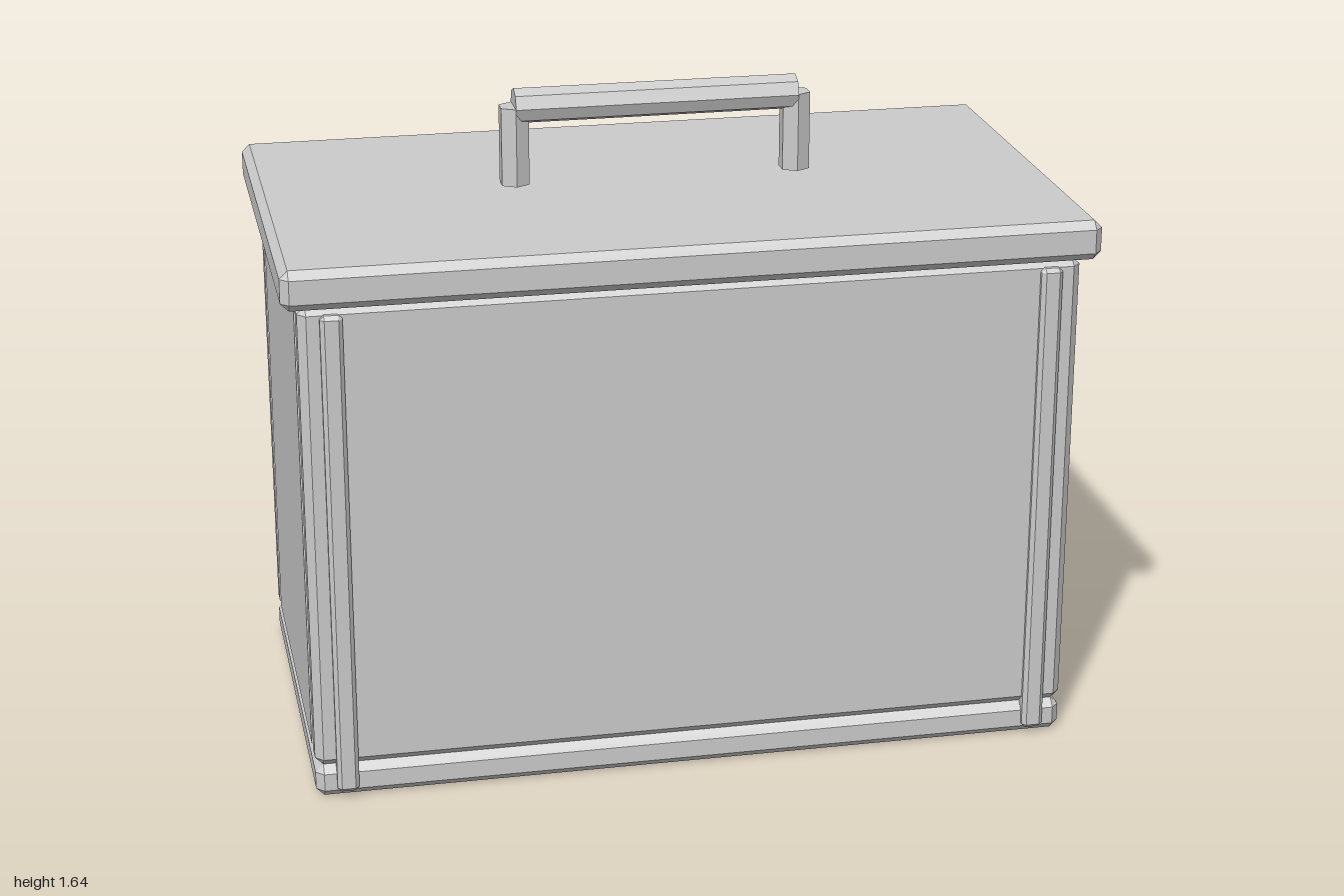
import * as THREE from 'three';
import { ConvexGeometry } from 'three/addons/geometries/ConvexGeometry.js';

const material = new THREE.MeshStandardMaterial({ color: 0xcccccc, flatShading: true });

function add(group, name, geometry, x = 0, y = 0, z = 0) {
  const mesh = new THREE.Mesh(geometry, material);
  mesh.name = name;
  mesh.position.set(x, y, z);
  group.add(mesh);
  return mesh;
}

// Box with every edge bevelled, given by its extents on each axis
function bevelBox(group, name, [x0, x1], [y0, y1], [z0, z1], c = 0.02) {
  const a = (x1 - x0) / 2, b = (y1 - y0) / 2, d = (z1 - z0) / 2;
  const points = [];
  for (const i of [-1, 1]) for (const j of [-1, 1]) for (const k of [-1, 1]) {
    points.push(
      new THREE.Vector3(i * a, j * (b - c), k * (d - c)),
      new THREE.Vector3(i * (a - c), j * b, k * (d - c)),
      new THREE.Vector3(i * (a - c), j * (b - c), k * d)
    );
  }
  return add(group, name, new ConvexGeometry(points), (x0 + x1) / 2, (y0 + y1) / 2, (z0 + z1) / 2);
}

export function createModel() {
  const model = new THREE.Group();
  model.name = 'box';

  // Base and lid
  bevelBox(model, 'base', [-0.96, 0.96], [0, 0.085], [-0.487, 0.552]);
  bevelBox(model, 'lid', [-1, 1], [1.285, 1.385], [-0.525, 0.59]);

  // Walls
  const wallY = [0.085, 1.283];
  bevelBox(model, 'frontPanel', [-0.96, 0.96], wallY, [0.47, 0.552]);
  bevelBox(model, 'backPanel', [-0.96, 0.96], wallY, [-0.487, -0.404]);
  bevelBox(model, 'leftPanel', [0.88, 0.96], wallY, [-0.404, 0.47]);
  bevelBox(model, 'rightPanel', [-0.96, -0.88], wallY, [-0.404, 0.47]);

  for (const s of [-1, 1]) {
    const stripX = [s * 0.882 - 0.027, s * 0.882 + 0.027];

    // Upright trim strips on the front and back
    bevelBox(model, 'frontStrip', stripX, [0.02, 1.265], [0.515, 0.571], 0.01);
    bevelBox(model, 'backStrip', stripX, [0.02, 1.265], [-0.505, -0.449], 0.01);

    // Handle posts
    add(model, 'handlePost', new THREE.CylinderGeometry(0.04, 0.04, 0.2, 6), s * 0.36, 1.5, 0.032);

    // Round knobs on the back
    const knob = add(model, 'knob', new THREE.CylinderGeometry(0.05, 0.05, 0.055, 8), s * 0.64, 0.52, -0.545);
    knob.rotation.x = Math.PI / 2;
  }

  // Handle grip
  const grip = add(model, 'handleGrip', new THREE.CylinderGeometry(0.045, 0.045, 0.72, 8), 0, 1.6, 0.032);
  grip.rotation.z = Math.PI / 2;

  // Latch at the top of the back
  bevelBox(model, 'latch', [-0.108, 0.108], [0.963, 1.28], [-0.59, -0.504]);

  return model;
}
